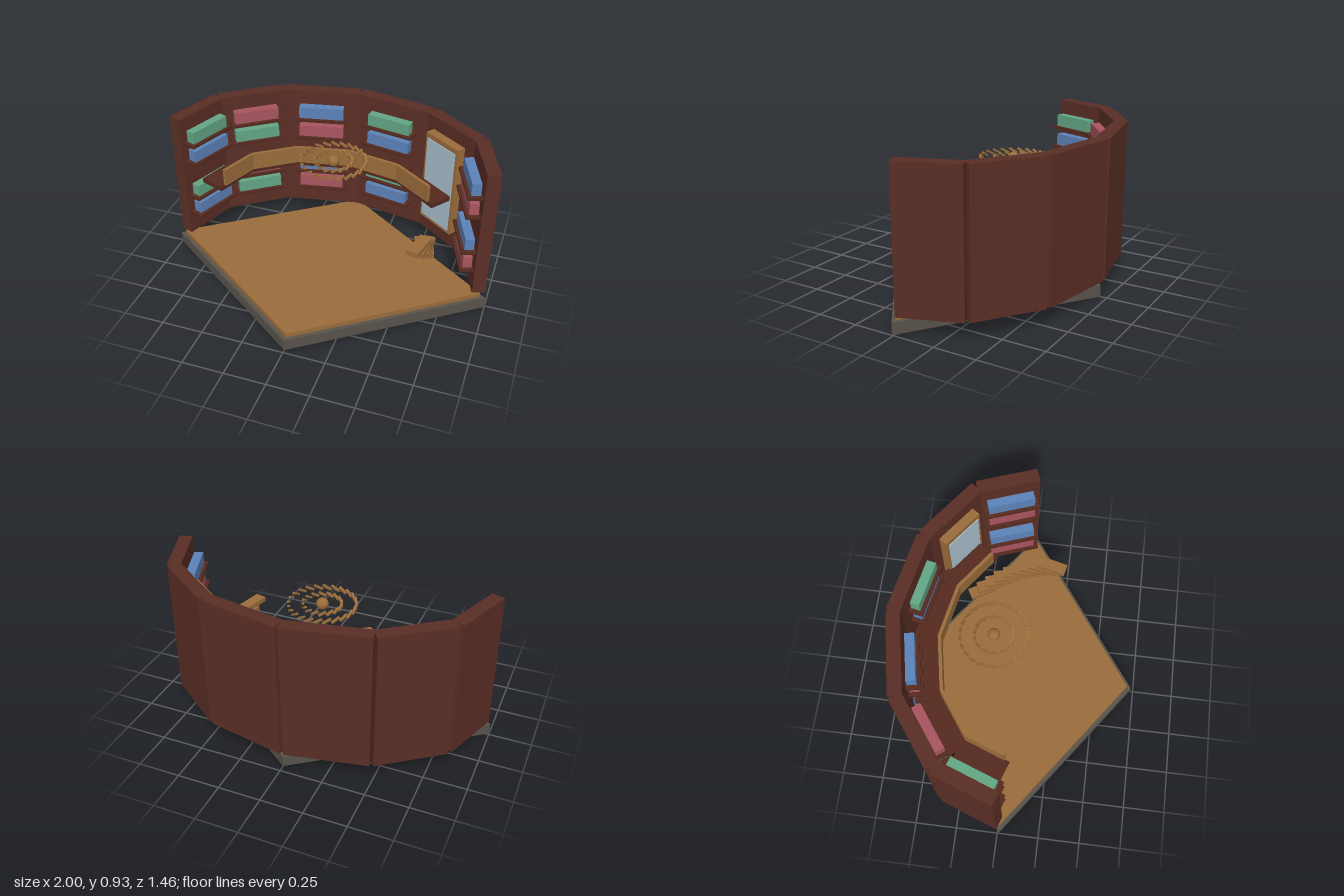
import * as THREE from 'three';

const mat = (name, color) => {
  const m = new THREE.MeshStandardMaterial({ color });
  m.name = name;
  return m;
};

export function createModel() {
  const root = new THREE.Group();
  root.name = 'curvedLibrary';

  const stone = mat('stone', 0x58534b);
  const oak = mat('oak', 0x9a6c3a);
  const mahogany = mat('mahogany', 0x5a2e25);
  const darkWood = mat('darkWood', 0x54291f);
  const glass = mat('glass', 0xa9c0cd);
  const bookColors = [mat('blueBooks', 0x5c82b8), mat('greenBooks', 0x62a584), mat('redBooks', 0xa8545f)];

  const CZ = 0.01; // centre of the plan in z
  const PANELS = 6;

  function box(parent, name, material, w, h, d, x, y, z) {
    const mesh = new THREE.Mesh(new THREE.BoxGeometry(w, h, d), material);
    mesh.name = name;
    mesh.position.set(x, y, z);
    parent.add(mesh);
    return mesh;
  }

  // Group on chord i of a half ellipse: local x runs along the chord, local z points inward
  function chordGroup(name, i, a, b) {
    const at = (k) => {
      const t = (k * Math.PI) / PANELS;
      return new THREE.Vector2(-a * Math.cos(t), CZ - b * Math.sin(t));
    };
    const p = at(i), q = at(i + 1);
    const g = new THREE.Group();
    g.name = name;
    g.position.set((p.x + q.x) / 2, 0, (p.y + q.y) / 2);
    g.rotation.y = Math.atan2(-(q.y - p.y), q.x - p.x);
    g.userData.length = p.distanceTo(q);
    root.add(g);
    return g;
  }

  // Diamond base and floor
  function diamond(name, material, halfX, halfZ, y0, y1) {
    let geo = new THREE.CylinderGeometry(1, 1, y1 - y0, 4);
    geo.scale(halfX, 1, halfZ);
    geo = geo.toNonIndexed();
    geo.computeVertexNormals();
    const mesh = new THREE.Mesh(geo, material);
    mesh.name = name;
    mesh.position.set(0, (y0 + y1) / 2, CZ);
    root.add(mesh);
  }
  diamond('base', stone, 1, 0.72, 0, 0.07);
  diamond('floor', oak, 0.965, 0.692, 0.07, 0.1);

  // Wall panels with shelves of books, and a tall window in one panel
  const shelfHeights = [0.25, 0.378, 0.628, 0.757];
  for (let i = 0; i < PANELS; i++) {
    const g = chordGroup('wallPanel', i, 0.955, 0.698);
    box(g, 'wall', mahogany, g.userData.length * 0.99, 0.825, 0.08, 0, 0.5125, 0);
    if (i === 4) {
      box(g, 'windowFrame', oak, 0.275, 0.605, 0.056, -0.008, 0.54, 0.072);
      box(g, 'windowGlass', glass, 0.24, 0.55, 0.008, -0.008, 0.535, 0.102);
      continue;
    }
    shelfHeights.forEach((y, r) => {
      box(g, 'shelf', darkWood, 0.33, 0.016, 0.09, 0, y, 0.08);
      box(g, 'books', bookColors[(i + (r % 2)) % 3], 0.28, 0.075, 0.055, 0, y + 0.0455, 0.077);
    });
  }

  // Balcony with a railing along its inner edge
  for (let i = 0; i < PANELS - 1; i++) {
    const deck = chordGroup('balcony', i, 0.74, 0.555);
    box(deck, 'balconyDeck', darkWood, deck.userData.length, 0.03, 0.16, 0, 0.501, 0);
    const rail = chordGroup('railing', i, 0.652, 0.466);
    box(rail, 'balconyRail', oak, rail.userData.length, 0.11, 0.02, 0, 0.571, 0);
  }

  // Curved stair
  const stair = new THREE.Group();
  stair.name = 'stair';
  root.add(stair);
  for (let i = 0; i < 9; i++) {
    const t = THREE.MathUtils.degToRad(13.5 - 5.3 * (8 - i));
    const step = box(stair, 'step', oak, 0.07, 0.03, 0.172,
      0.62 * Math.cos(t), 0.119 + 0.0425 * i, 0.62 * Math.sin(t));
    step.rotation.y = -t;
  }

  // Chandelier: two rings of slanted bars around a globe
  const chandelier = new THREE.Group();
  chandelier.name = 'chandelier';
  chandelier.position.set(0, 0.741, -0.134);
  root.add(chandelier);
  for (const [radius, count] of [[0.192, 24], [0.11, 16]]) {
    for (let i = 0; i < count; i++) {
      const t = (i / count) * Math.PI * 2;
      const len = (2 * Math.PI * radius) / count;
      const bar = box(chandelier, 'chandelierBar', oak, len * 1.1, 0.011, 0.014,
        radius * Math.sin(t), 0, radius * Math.cos(t));
      bar.rotation.set(0, t, Math.PI / 6);
    }
  }
  const globe = new THREE.Mesh(new THREE.SphereGeometry(0.036, 20, 14), oak);
  globe.name = 'globe';
  chandelier.add(globe);

  return root;
}
